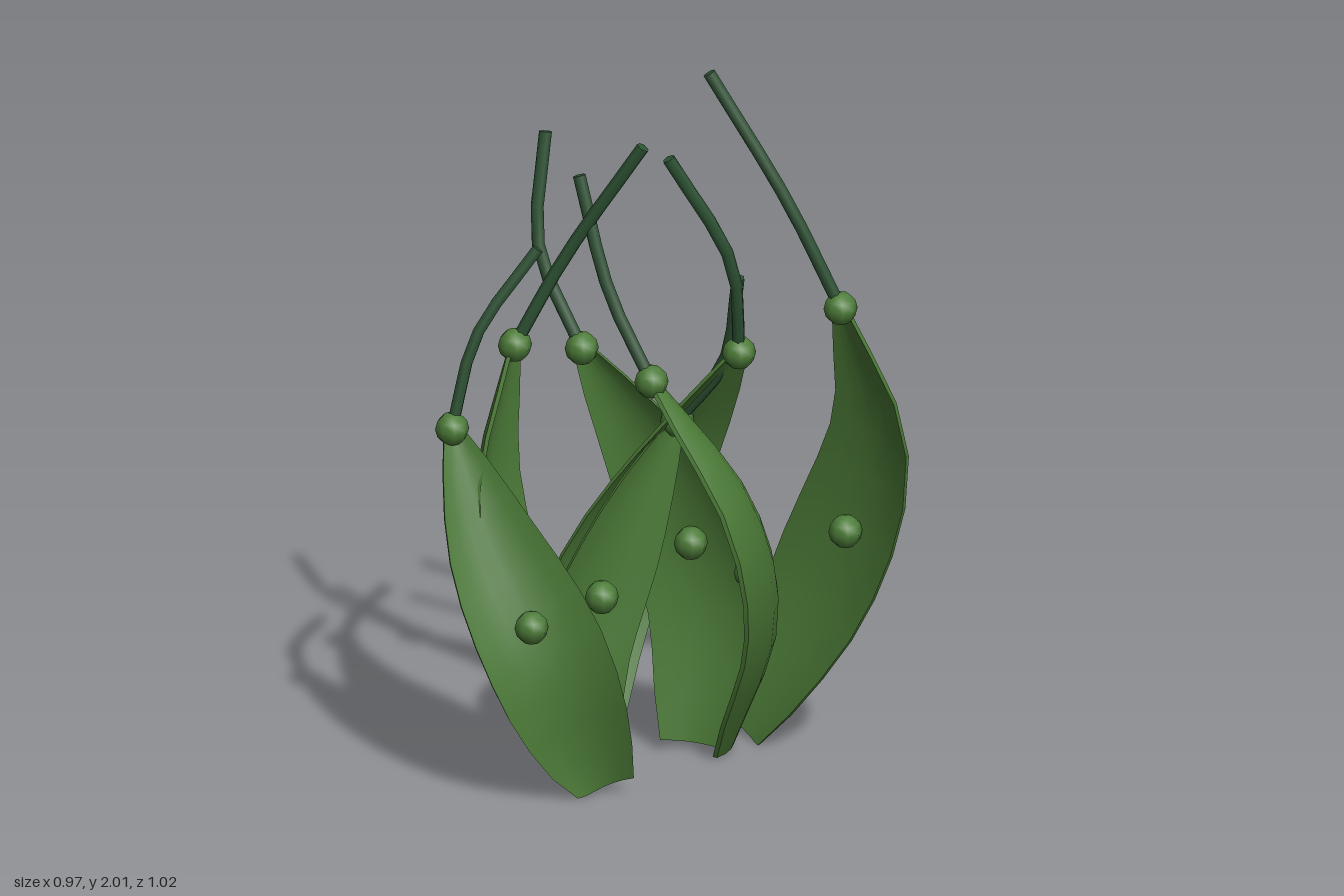
import * as THREE from 'three';
import { toCreasedNormals } from 'three/addons/utils/BufferGeometryUtils.js';

const RINGS = 10;
const COLS = 7;
const BEAD_RADIUS = 0.046;
const TENDRIL_RADIUS = 0.0175;

const vec = (p) => new THREE.Vector3(...p);

// Position, width direction and hollow direction at t along a pod's spine;
// facing is the heading of the hollow in degrees, from +z towards +x
function frameAt(curve, facing, t) {
  const centre = curve.getPointAt(t);
  const along = curve.getTangentAt(t);
  const angle = THREE.MathUtils.degToRad(facing);
  const across = new THREE.Vector3(Math.cos(angle), 0, -Math.sin(angle));
  across.addScaledVector(along, -across.dot(along)).normalize();
  const inward = across.clone().cross(along);
  return { centre, across, inward };
}

// Share of the full width: blunt at the base, widest mid-way, narrow at the tip
function widthShare(t) {
  const peak = 0.42;
  return t < peak ? 1 - 0.5 * ((peak - t) / peak) ** 2 : 1 - 0.85 * ((t - peak) / (1 - peak)) ** 1.8;
}

// Cupped blade: a crescent cross-section swept along the spine
function bractGeometry(curve, facing, half) {
  const points = [], index = [], loop = COLS * 2;
  for (let i = 0; i <= RINGS; i++) {
    const { centre, across, inward } = frameAt(curve, facing, i / RINGS);
    const width = half * widthShare(i / RINGS);
    for (let j = 0; j < loop; j++) {
      const inside = j >= COLS;
      const s = ((inside ? loop - 1 - j : j) / (COLS - 1)) * 2 - 1;
      const thickness = inside ? 0.012 + 0.12 * width * (1 - s * s) : 0;
      const p = centre.clone().addScaledVector(across, s * width)
        .addScaledVector(inward, width * (0.42 * s * s - 0.12) + thickness - 0.012);
      points.push(p.x, Math.max(p.y, 0), p.z);
    }
  }
  for (let i = 0; i < RINGS; i++) {
    for (let j = 0; j < loop; j++) {
      const a = i * loop + j, b = i * loop + (j + 1) % loop;
      index.push(a, a + loop, b, b, a + loop, b + loop);
    }
  }
  // End faces
  const top = RINGS * loop;
  for (let j = 0; j < COLS - 1; j++) {
    const a = j, b = j + 1, c = loop - 2 - j, d = loop - 1 - j;
    index.push(a, b, c, a, c, d);
    index.push(top + a, top + c, top + b, top + a, top + d, top + c);
  }
  const geometry = new THREE.BufferGeometry();
  geometry.setAttribute('position', new THREE.Float32BufferAttribute(points, 3));
  geometry.setIndex(index);
  return toCreasedNormals(geometry, 0.8);
}

function makeMaterial(name, color) {
  const material = new THREE.MeshStandardMaterial({ color });
  material.name = name;
  return material;
}

export function createModel() {
  const leafGreen = makeMaterial('leaf green', 0x4a7836);
  const beadGreen = makeMaterial('bead green', 0x4e7d3a);
  const darkGreen = makeMaterial('dark green', 0x2d5233);
  const beadShape = new THREE.SphereGeometry(BEAD_RADIUS, 8, 6);
  const endShape = new THREE.CircleGeometry(TENDRIL_RADIUS, 6);

  const model = new THREE.Group();
  model.name = 'podCluster';

  // One pod: bract along base-low-high-tip, beads, and a tendril from the tip
  function addPod(name, facing, base, low, high, tip, bend, end, half = 0.165) {
    const pod = new THREE.Group();
    pod.name = name;
    model.add(pod);
    const add = (part, geometry, material, at = new THREE.Vector3()) => {
      const mesh = new THREE.Mesh(geometry, material);
      mesh.name = part;
      mesh.position.copy(at);
      pod.add(mesh);
      return mesh;
    };
    const spine = new THREE.CatmullRomCurve3([base, low, high, tip].map(vec));
    add('bract', bractGeometry(spine, facing, half), leafGreen);
    add('tipBead', beadShape, beadGreen, vec(tip));
    const { centre, inward } = frameAt(spine, facing, 0.48);
    add('hollowBead', beadShape, beadGreen, centre.addScaledVector(inward, 0.035));

    const stalk = new THREE.CatmullRomCurve3([tip, bend, end].map(vec));
    add('tendril', new THREE.TubeGeometry(stalk, 6, TENDRIL_RADIUS, 6), darkGreen);
    const cap = add('tendrilEnd', endShape, darkGreen, vec(end));
    cap.lookAt(vec(end).add(stalk.getTangent(1)));
  }

  addPod('backLeftPod', 0, [-0.02, 0.02, -0.36], [0.2, 0.47, -0.46], [0.37, 0.95, -0.44],
    [0.355, 1.34, -0.3], [0.24, 1.64, -0.22], [0.05, 2, -0.12]);
  addPod('backRightPod', 60, [-0.23, 0.03, 0.08], [-0.29, 0.42, -0.05], [-0.15, 0.8, -0.16],
    [0.12, 1.2, -0.16], [0.14, 1.48, -0.1], [0.02, 1.79, 0.02]);
  addPod('leftPod', -57, [0, 0.02, -0.26], [0.16, 0.42, -0.23], [0.18, 0.8, -0.09],
    [-0.03, 1.14, 0.03], [-0.15, 1.38, 0.06], [-0.25, 1.69, 0.06]);
  addPod('backPod', 30, [-0.07, 0.02, -0.2], [-0.06, 0.42, -0.26], [-0.13, 0.8, -0.15],
    [-0.28, 1.17, 0.01], [-0.41, 1.44, 0.03], [-0.44, 1.74, -0.04]);
  addPod('rightPod', 100, [-0.23, 0.02, 0.15], [-0.335, 0.42, 0.25], [-0.395, 0.83, 0.27],
    [-0.375, 1.21, 0.18], [-0.27, 1.46, 0.1], [-0.07, 1.8, 0.015], 0.15);
  addPod('frontRightPod', 49, [-0.06, 0.02, 0.2], [-0.13, 0.37, 0.335], [-0.29, 0.7, 0.385],
    [-0.43, 1.02, 0.385], [-0.4, 1.27, 0.32], [-0.29, 1.51, 0.19]);
  addPod('innerPod', 55, [-0.18, 0.03, 0.12], [-0.215, 0.36, 0.09], [-0.15, 0.67, -0.01],
    [-0.065, 0.97, -0.13], [0.07, 1.16, -0.16], [0.14, 1.43, -0.13], 0.13);
  return model;
}
